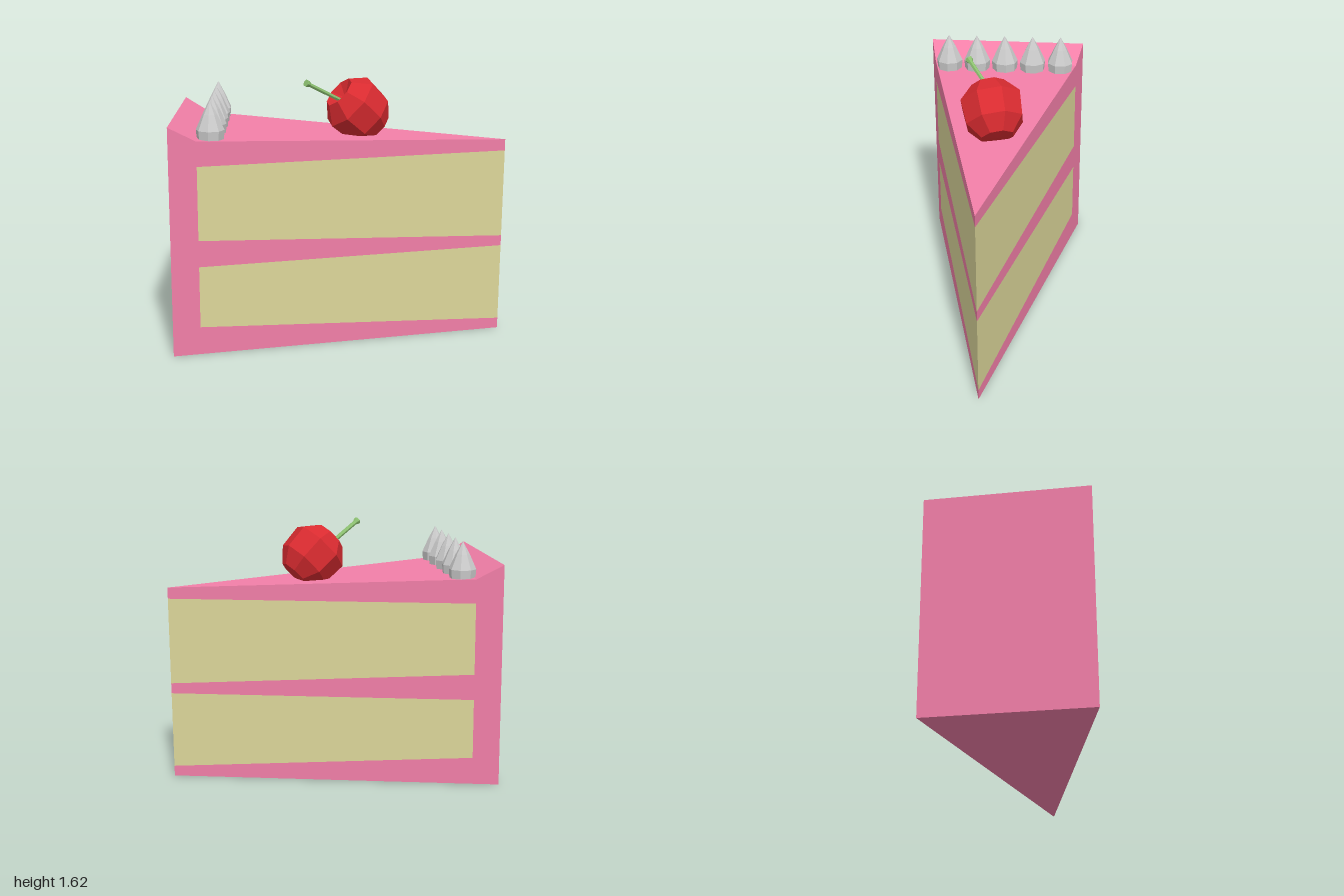
import * as THREE from 'three';

// Footprint corners (x, z): two outer corners and the tip of the wedge
const LEFT = [-1, 0.16], BACK = [-0.5, -0.72], TIP = [1, 0.715];
const RIM = 0.08; // share of each side taken by the outer frosting

const paint = (color, side = THREE.FrontSide) =>
  new THREE.MeshStandardMaterial({ color, flatShading: true, side });

function add(parent, name, geometry, material) {
  const mesh = new THREE.Mesh(geometry, material);
  mesh.name = name;
  parent.add(mesh);
  return mesh;
}

// Point on a cut side: s runs from the outer corner to the tip
const onSide = (corner, s, y) => [
  corner[0] + s * (TIP[0] - corner[0]), y,
  corner[1] + s * (TIP[1] - corner[1])];

// Flat outline (s, y) laid on one cut side
function sidePanel(corner, outline, flip) {
  const shape = new THREE.Shape(outline.map(([s, y]) => new THREE.Vector2(s, y)));
  const g = new THREE.ShapeGeometry(shape);
  const p = g.attributes.position;
  for (let i = 0; i < p.count; i++) p.setXYZ(i, ...onSide(corner, p.getX(i), p.getY(i)));
  if (flip) g.setIndex(Array.from(g.index.array).reverse());
  g.computeVertexNormals();
  return g;
}

// Convex face from corners listed counter-clockwise
function face(...corners) {
  const g = new THREE.BufferGeometry();
  const index = [];
  for (let i = 1; i < corners.length - 1; i++) index.push(0, i, i + 1);
  g.setAttribute('position', new THREE.Float32BufferAttribute(corners.flat(), 3));
  g.setIndex(index);
  g.computeVertexNormals();
  return g;
}

const lathe = (profile, sides) =>
  new THREE.LatheGeometry(profile.map(([r, y]) => new THREE.Vector2(r, y)), sides);

export function createModel() {
  const model = new THREE.Group();
  model.name = 'cakeSlice';
  const pink = paint(0xf27fa8), cream = paint(0xdcd69a);
  const red = paint(0xd92b30), green = paint(0x8cc070), grey = paint(0xcccccc);

  // Cut sides: comb-shaped frosting with two sponge layers between its teeth
  const frosting = [[0, 0], [1, 0], [1, 0.065], [RIM, 0.172], [RIM, 0.55], [1, 0.55], [1, 0.615],
    [RIM, 0.712], [RIM, 1.16], [1, 1.16], [1, 1.23], [RIM, 1.31], [0, 1.4]];
  const layers = {
    lowerSponge: [[RIM, 0.172], [1, 0.065], [1, 0.55], [RIM, 0.55]],
    upperSponge: [[RIM, 0.712], [1, 0.615], [1, 1.16], [RIM, 1.16]],
  };
  for (const [label, corner, flip] of [['front', LEFT, false], ['back', BACK, true]]) {
    const side = new THREE.Group();
    side.name = label + 'CutSide';
    add(side, 'frostingLayers', sidePanel(corner, frosting, flip), pink);
    for (const name in layers) add(side, name, sidePanel(corner, layers[name], flip), cream);
    model.add(side);
  }

  // Outer wall, raised rim slope, top and underside
  const l = (s, y) => onSide(LEFT, s, y), b = (s, y) => onSide(BACK, s, y);
  add(model, 'outerFrosting', face(l(0, 0), l(0, 1.4), b(0, 1.4), b(0, 0)), pink);
  add(model, 'rimSlope', face(l(0, 1.4), l(RIM, 1.31), b(RIM, 1.31), b(0, 1.4)), pink);
  add(model, 'topFrosting', face(l(RIM, 1.31), l(1, 1.23), b(RIM, 1.31)), pink);
  add(model, 'underside', face(l(0, 0), b(0, 0), l(1, 0)), pink);

  // Row of whipped cream dollops along the rim
  const dollop = lathe([[0, 0], [0.08, 0], [0.085, 0.055], [0.043, 0.147], [0, 0.225]], 8);
  for (let i = 0; i < 5; i++) {
    const t = i / 4;
    const mesh = add(model, 'creamDollop', dollop, grey);
    mesh.position.set(-0.725 + 0.35 * t, 1.305, 0.15 - 0.635 * t);
    mesh.rotation.y = 0.2 + i * 0.12;
  }

  // Cherry, tipped over so its dimple faces the stem
  const cherry = new THREE.Group();
  cherry.name = 'cherry';
  const fruit = add(cherry, 'cherryFruit', lathe([[0, -0.175], [0.1, -0.17], [0.178, -0.08],
    [0.19, 0.07], [0.105, 0.165], [0, 0.11]], 8), red);
  fruit.position.set(0.215, 1.415, 0.26);
  const root = new THREE.Vector3(0.14, 1.46, 0.215), end = new THREE.Vector3(-0.145, 1.603, 0.256);
  const along = end.clone().sub(root);
  const up = new THREE.Vector3(0, 1, 0);
  fruit.quaternion.setFromUnitVectors(up, new THREE.Vector3(-0.72, 0.67, -0.15).normalize());

  // Stem with a flared end
  const len = along.length();
  const stem = add(cherry, 'cherryStem', lathe([[0, 0], [0.013, 0], [0.014, len - 0.03],
    [0.023, len - 0.01], [0.023, len], [0, len]], 6), green);
  stem.position.copy(root);
  stem.quaternion.setFromUnitVectors(up, along.normalize());
  model.add(cherry);

  return model;
}
